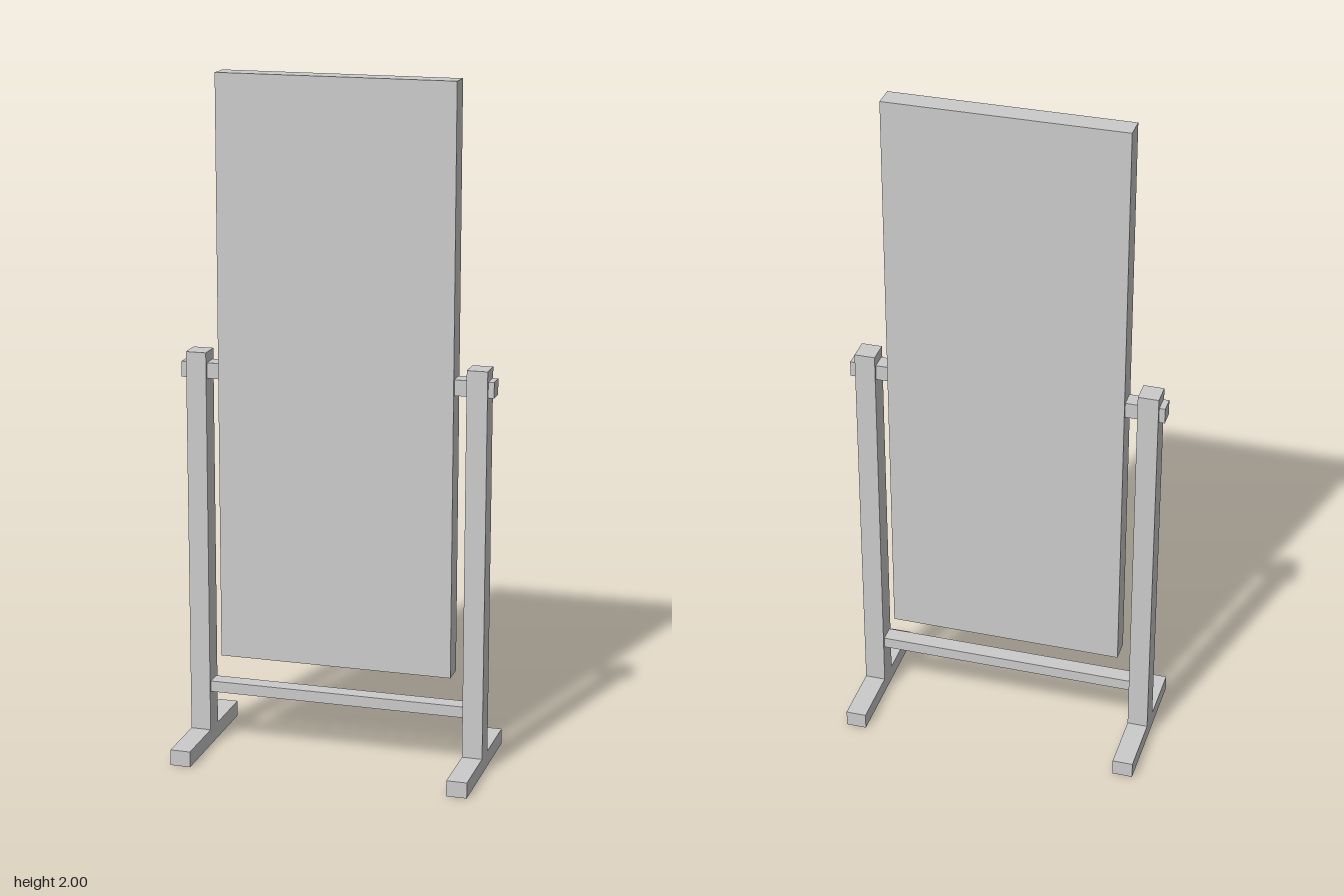
import * as THREE from 'three';

const material = new THREE.MeshStandardMaterial({ color: 0xcccccc, flatShading: true });

// Box given by its size, centre x and bottom height
function addBox(parent, name, width, height, depth, x, bottom) {
  const mesh = new THREE.Mesh(new THREE.BoxGeometry(width, height, depth), material);
  mesh.name = name;
  mesh.position.set(x, bottom + height / 2, 0);
  parent.add(mesh);
}

export function createModel() {
  const model = new THREE.Group();
  model.name = 'standingMirror';

  // Tall tilting panel
  addBox(model, 'mirrorPanel', 0.694, 1.715, 0.067, 0, 0.285);

  // Low rail joining the two posts
  addBox(model, 'crossRail', 0.77, 0.033, 0.05, 0, 0.165);

  // Foot, post and pivot peg on each side
  for (const [side, s] of [['left', 1], ['right', -1]]) {
    addBox(model, side + 'Foot', 0.06, 0.047, 0.436, s * 0.414, 0);
    addBox(model, side + 'Post', 0.06, 1.15, 0.067, s * 0.414, 0.047);
    addBox(model, side + 'PivotPeg', 0.117, 0.046, 0.05, s * 0.4025, 1.12);
  }

  return model;
}
